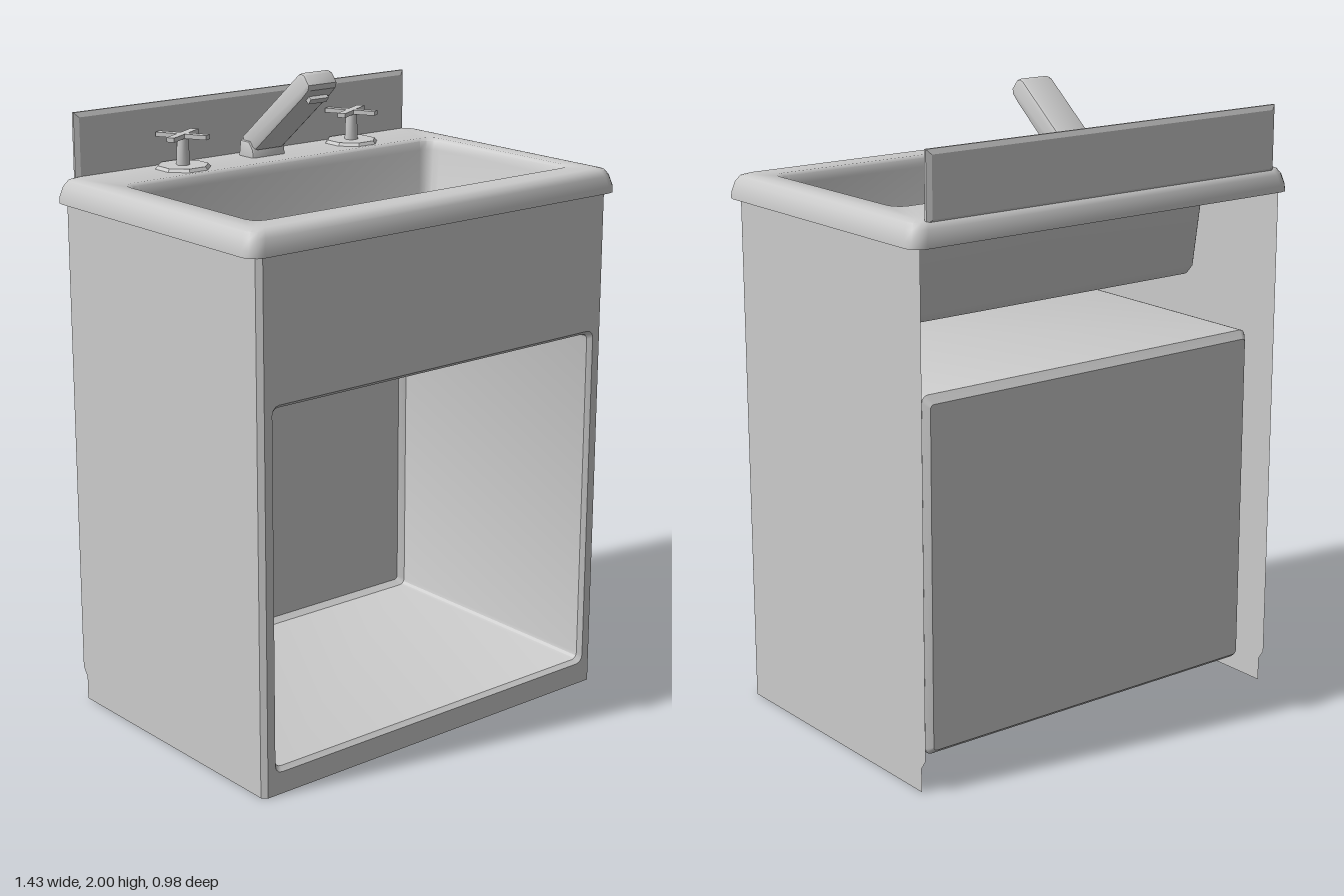
import * as THREE from 'three';
import { toCreasedNormals } from 'three/addons/utils/BufferGeometryUtils.js';

const grey = new THREE.MeshStandardMaterial({ color: 0xcccccc, side: THREE.DoubleSide });

function part(parent, name, geometry) {
  const mesh = new THREE.Mesh(geometry, grey);
  mesh.name = name;
  parent.add(mesh);
  return mesh;
}

// Rounded-rectangle ring in XY, counterclockwise
function ring([hx, y0, y1, z, r], seg) {
  const pts = [];
  const corners = [[hx - r, y0 + r], [hx - r, y1 - r], [-hx + r, y1 - r], [-hx + r, y0 + r]];
  corners.forEach(([cx, cy], k) => {
    for (let i = 0; i <= seg; i++) {
      const a = (k - 1 + i / seg) * Math.PI / 2;
      pts.push([cx + r * Math.cos(a), cy + r * Math.sin(a), z]);
    }
  });
  return pts;
}

// Skin through sections [halfWidth, yMin, yMax, z, cornerRadius], last one capped
function loft(sections, seg, crease) {
  const n = 4 * (seg + 1), pos = [], idx = [];
  sections.forEach(s => ring(s, seg).forEach(p => pos.push(...p)));
  for (let j = 0; j < sections.length - 1; j++) {
    for (let i = 0; i < n; i++) {
      const a = j * n + i, b = j * n + (i + 1) % n;
      idx.push(a, b, b + n, a, b + n, a + n);
    }
  }
  const last = sections[sections.length - 1], base = (sections.length - 1) * n;
  pos.push(0, (last[1] + last[2]) / 2, last[3]);
  for (let i = 0; i < n; i++) idx.push(base + i, base + (i + 1) % n, base + n);
  const g = new THREE.BufferGeometry();
  g.setAttribute('position', new THREE.Float32BufferAttribute(pos, 3));
  g.setIndex(idx);
  return toCreasedNormals(g, crease);
}

// Bevelled extrusion of a (z, y) outline across x
function sideExtrude(points, width, bevel) {
  const shape = new THREE.Shape(points.map(p => new THREE.Vector2(...p)));
  const depth = width - 2 * bevel;
  const g = new THREE.ExtrudeGeometry(shape, {
    depth, bevelThickness: bevel, bevelSize: bevel, bevelOffset: -bevel, bevelSegments: 2,
  });
  return toCreasedNormals(g.translate(0, 0, -depth / 2).rotateY(-Math.PI / 2), 0.6);
}

function createCabinet() {
  const cabinet = new THREE.Group();
  cabinet.name = 'cabinet';
  const top = 1.66;

  // Front panel with the compartment opening
  const front = new THREE.Shape();
  front.moveTo(-0.665, 0).lineTo(0.665, 0).lineTo(0.665, top).lineTo(-0.665, top).closePath();
  const hole = ring([0.637, 0.07, 1.197, 0, 0.025], 3).map(p => new THREE.Vector2(p[0], p[1]));
  front.holes.push(new THREE.Path(hole));
  part(cabinet, 'frontPanel', new THREE.ShapeGeometry(front).translate(0, 0, 0.475));

  // Thin side panels, notched low at the back, with chamfered front corners
  const outline = [[0.46, 0], [0.46, top], [-0.47, top], [-0.47, 0.105], [-0.45, 0.075], [-0.45, 0]];
  for (const s of [-1, 1]) {
    const shape = new THREE.Shape(outline.map(p => new THREE.Vector2(s * -p[0], p[1])));
    part(cabinet, 'sidePanel', new THREE.ShapeGeometry(shape).rotateY(s * Math.PI / 2).translate(s * 0.68, 0, 0));
    const strip = new THREE.PlaneGeometry(0.0213, top).rotateY(s * Math.PI / 4);
    part(cabinet, 'cornerChamfer', strip.translate(s * 0.6725, top / 2, 0.4675));
  }

  // Open compartment set into the front
  part(cabinet, 'compartment', loft([
    [0.637, 0.07, 1.197, 0.475, 0.025],
    [0.626, 0.082, 1.185, 0.46, 0.02],
    [0.626, 0.082, 1.185, -0.395, 0.02],
    [0.61, 0.098, 1.16, -0.415, 0.012],
  ], 3, 0.5));
  return cabinet;
}

function createSink() {
  const sink = new THREE.Group();
  sink.name = 'sink';
  // Rolled rim running over the deck and down into the basin
  part(sink, 'rimAndBasin', loft([
    [0.68, -0.465, 0.465, 1.64, 0.02],
    [0.715, -0.492, 0.492, 1.63, 0.045],
    [0.714, -0.491, 0.491, 1.65, 0.045],
    [0.705, -0.483, 0.483, 1.682, 0.045],
    [0.693, -0.471, 0.471, 1.699, 0.04],
    [0.67, -0.452, 0.452, 1.705, 0.03],
    [0.618, -0.382, 0.272, 1.705, 0.045],
    [0.607, -0.372, 0.262, 1.697, 0.045],
    [0.598, -0.364, 0.254, 1.67, 0.045],
    [0.572, -0.345, 0.232, 1.37, 0.04],
    [0.555, -0.33, 0.218, 1.345, 0.03],
  ], 3, 0.7).rotateX(-Math.PI / 2));

  // Thin upright splash with chamfered front edges
  const s = new THREE.Shape();
  s.moveTo(-0.655, 1.69).lineTo(0.655, 1.69).lineTo(0.655, 1.9).lineTo(-0.655, 1.9).closePath();
  const splash = new THREE.ExtrudeGeometry(s, {
    depth: 0.008, bevelThickness: 0.008, bevelSize: 0.015, bevelOffset: -0.015, bevelSegments: 1,
  });
  part(sink, 'backsplash', splash.translate(0, 0, -0.467));
  return sink;
}

function createFaucet() {
  const faucet = new THREE.Group();
  faucet.name = 'faucet';
  part(faucet, 'faucetBase', sideExtrude(
    [[-0.425, 1.69], [-0.345, 1.69], [-0.35, 1.73], [-0.37, 1.755], [-0.415, 1.755]], 0.13, 0.008));
  part(faucet, 'spout', sideExtrude([
    [-0.415, 1.765], [-0.13, 1.995], [-0.115, 2], [-0.1, 1.995], [-0.077, 1.967],
    [-0.08, 1.95], [-0.108, 1.923], [-0.345, 1.73], [-0.4, 1.73]], 0.115, 0.01));
  // Outlet under the spout tip
  const outlet = part(faucet, 'outlet', new THREE.BoxGeometry(0.07, 0.02, 0.035));
  outlet.position.set(0, 1.923, -0.113);
  outlet.rotation.x = 0.68;
  const shank = part(faucet, 'shank', new THREE.BoxGeometry(0.1, 0.03, 0.05));
  shank.position.set(0, 1.69, -0.385);
  return faucet;
}

function createTap(x) {
  const tap = new THREE.Group();
  tap.name = 'tapHandle';
  const cyl = (r0, r1, h, n) => new THREE.CylinderGeometry(r0, r1, h, n).toNonIndexed();
  part(tap, 'plate', toCreasedNormals(cyl(0.08, 0.088, 0.01, 8).rotateY(Math.PI / 8), 0.3)).position.y = 0.005;
  part(tap, 'stem', toCreasedNormals(cyl(0.018, 0.022, 0.1, 8), 0.9)).position.y = 0.05;
  // Crossed bars of the handle
  for (const a of [0.5, 0.5 + Math.PI / 2]) {
    const bar = part(tap, 'crossBar', new THREE.BoxGeometry(0.172, 0.014, 0.026));
    bar.position.y = 0.1;
    bar.rotation.y = a;
  }
  tap.position.set(x, 1.705, -0.368);
  return tap;
}

export function createModel() {
  const model = new THREE.Group();
  model.name = 'sinkCabinet';
  model.add(createCabinet(), createSink(), createFaucet(), createTap(-0.32), createTap(0.355));
  return model;
}
